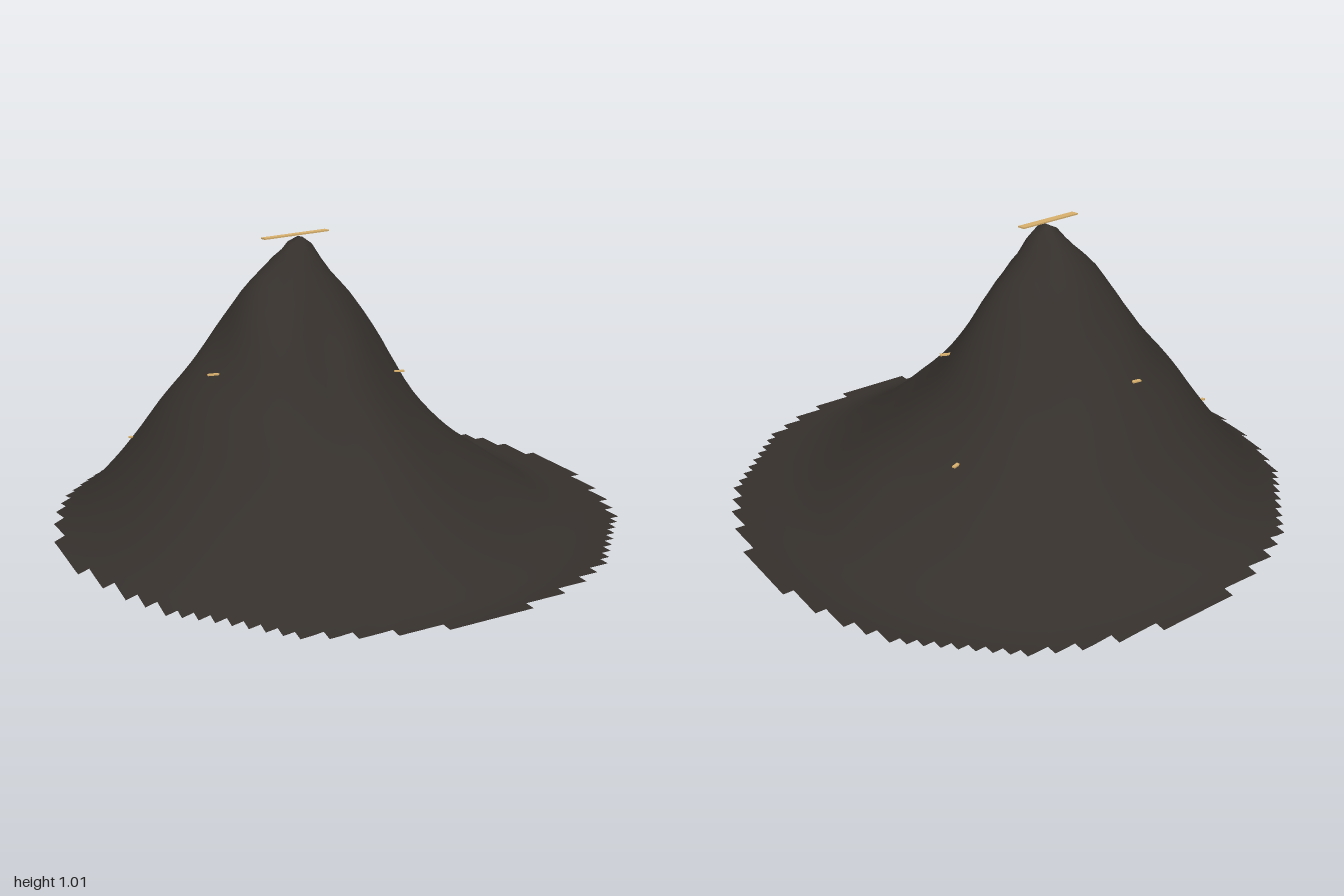
import * as THREE from 'three';

const CELLS = 54, STEP = 2 / CELLS;
const PEAK = { x: -0.111, z: -0.05 };

// Slope profiles every 45 degrees around the peak (+x, then turning to +z);
// heights at every 0.1 of distance from the peak
const PROFILES = [
  [1, 0.88, 0.77, 0.62, 0.44, 0.32, 0.23, 0.16, 0.09, 0.025, 0],
  [1, 0.87, 0.72, 0.55, 0.41, 0.30, 0.21, 0.13, 0.065, 0.02, 0],
  [1, 0.86, 0.70, 0.59, 0.47, 0.37, 0.28, 0.19, 0.11, 0.04, 0],
  [1, 0.88, 0.77, 0.69, 0.55, 0.43, 0.30, 0.19, 0.10, 0.03, 0],
  [1, 0.91, 0.82, 0.65, 0.545, 0.43, 0.28, 0.15, 0.055, 0, 0],
  [1, 0.92, 0.81, 0.68, 0.53, 0.41, 0.28, 0.16, 0.06, 0, 0],
  [1, 0.915, 0.80, 0.65, 0.52, 0.39, 0.26, 0.15, 0.06, 0.01, 0],
  [1, 0.88, 0.77, 0.62, 0.48, 0.37, 0.27, 0.18, 0.09, 0.03, 0],
];

// Smooth height along one profile
function sample(profile, r) {
  const t = r * 10, i = Math.floor(t), f = t - i;
  const at = (k) => profile[Math.min(Math.abs(k), 10)];
  const a = at(i - 1), b = at(i), c = at(i + 1), d = at(i + 2);
  const h = b + 0.5 * f * (c - a + f * (2 * a - 5 * b + 4 * c - d + f * (3 * (b - c) + d - a)));
  return Math.max(0, h);
}

// Height of the mound, blended between neighbouring profiles
function heightAt(x, z) {
  const dx = x - PEAK.x, dz = z - PEAK.z, r = Math.hypot(dx, dz);
  const turn = ((Math.atan2(dz, dx) / (Math.PI / 4)) + 8) % 8;
  const k = Math.floor(turn), f = turn - k, s = f * f * (3 - 2 * f);
  return THREE.MathUtils.lerp(sample(PROFILES[k % 8], r), sample(PROFILES[(k + 1) % 8], r), s);
}

// Open height field on a square grid, trimmed to a stepped disc
function moundGeometry() {
  const positions = [], indices = [], row = CELLS + 1;
  for (let j = 0; j <= CELLS; j++) {
    for (let i = 0; i <= CELLS; i++) {
      const x = i * STEP - 1, z = j * STEP - 1;
      positions.push(x, heightAt(x, z), z);
    }
  }
  for (let j = 0; j < CELLS; j++) {
    for (let i = 0; i < CELLS; i++) {
      if (Math.hypot((i + 0.5) * STEP - 1, (j + 0.5) * STEP - 1) > 0.992) continue;
      const a = j * row + i, b = a + 1, c = a + row, d = c + 1;
      indices.push(a, c, b, b, c, d);
    }
  }
  const geometry = new THREE.BufferGeometry();
  geometry.setAttribute('position', new THREE.Float32BufferAttribute(positions, 3));
  geometry.setIndex(indices);
  geometry.computeVertexNormals();
  return geometry;
}

export function createModel() {
  const group = new THREE.Group();
  const earth = new THREE.MeshStandardMaterial({ color: 0x35302c, side: THREE.DoubleSide });
  const straw = new THREE.MeshStandardMaterial({ color: 0xd8b06c });

  const mound = new THREE.Mesh(moundGeometry(), earth);
  mound.name = 'mound';
  group.add(mound);

  const addStick = (name, x, y, z, length, width, yaw, tilt = 0) => {
    const stick = new THREE.Mesh(new THREE.BoxGeometry(length, 0.005, width), straw);
    stick.name = name;
    stick.position.set(x, y, z);
    stick.rotation.set(0, yaw, tilt);
    group.add(stick);
  };

  // Flat stick balanced on the summit
  addStick('summitStick', -0.127, 1.002, -0.055, 0.262, 0.027, 0.13, 0.03);

  // Small sticks poking out of the slopes: x, z, length, yaw
  const slopeSticks = [
    [-0.48, 0.055, 0.05, -0.12],
    [0.18, 0.12, 0.055, -0.4],
    [-0.205, -0.445, 0.032, -0.15],
    [0.395, -0.245, 0.03, 0.35],
    [-0.66, -0.325, 0.012, 0.4],
  ];
  for (const [x, z, length, yaw] of slopeSticks) {
    addStick('slopeStick', x, heightAt(x, z) + 0.01, z, length, 0.013, yaw);
  }
  return group;
}
